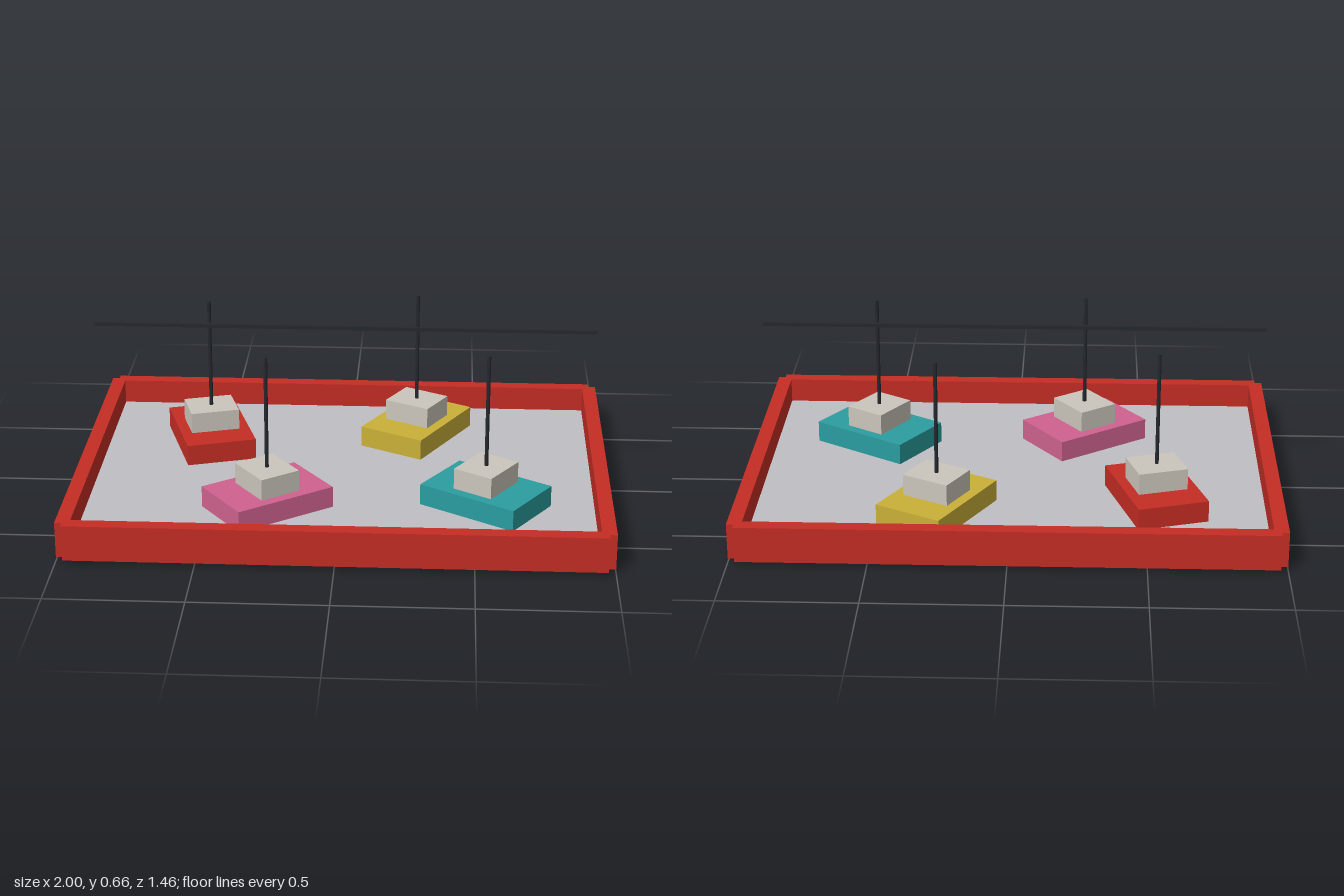
import * as THREE from 'three';

const U = 1 / 37; // layout unit

function material(name, color) {
  const m = new THREE.MeshStandardMaterial({ color });
  m.name = name;
  return m;
}

export function createModel() {
  const red = material('red', 0xc42d24);
  const yellow = material('yellow', 0xc9b038);
  const teal = material('teal', 0x2b9da0);
  const pink = material('pink', 0xcf628f);
  const floorGrey = material('floorGrey', 0xbfbec3);
  const seatGrey = material('seatGrey', 0xcbc6bc);
  const dark = material('darkMetal', 0x24282d);

  const arena = new THREE.Group();
  arena.name = 'bumperCarArena';

  function box(parent, name, mat, size, pos) {
    const mesh = new THREE.Mesh(new THREE.BoxGeometry(...size.map(v => v * U)), mat);
    mesh.position.set(...pos.map(v => v * U));
    mesh.name = name;
    parent.add(mesh);
    return mesh;
  }

  // Floor slab and the four overlapping walls
  box(arena, 'floor', floorGrey, [70, 2, 50], [0, 1, 0]);
  for (const s of [1, -1]) {
    box(arena, s > 0 ? 'frontWall' : 'backWall', red, [72, 5, 2], [0, 3, s * 26]);
    box(arena, s > 0 ? 'leftWall' : 'rightWall', red, [2, 5, 52], [s * 36, 3, 0]);
  }

  // Overhead power rail
  box(arena, 'overheadRail', dark, [70, 0.5, 0.5], [0, 24, 0]);

  // Cars: body, cabin and contact pole
  const poleGeometry = new THREE.CylinderGeometry(0.27 * U, 0.27 * U, 16 * U, 8);
  const cars = [
    ['redCar', red, -20, -10, 0.3],
    ['yellowCar', yellow, 10, -14, -0.5],
    ['tealCar', teal, 20, 10, 1.0],
    ['pinkCar', pink, -10, 12, 2.2],
  ];
  for (const [name, paint, x, z, turn] of cars) {
    const car = new THREE.Group();
    car.name = name;
    box(car, 'body', paint, [10, 3, 15], [0, 3.5, 0]);
    box(car, 'cabin', seatGrey, [7, 3, 6], [0, 6.5, 0]);
    const pole = new THREE.Mesh(poleGeometry, dark);
    pole.name = 'pole';
    pole.position.y = 16 * U;
    car.add(pole);
    car.position.set(x * U, 0, z * U);
    car.rotation.y = turn;
    arena.add(car);
  }
  return arena;
}
